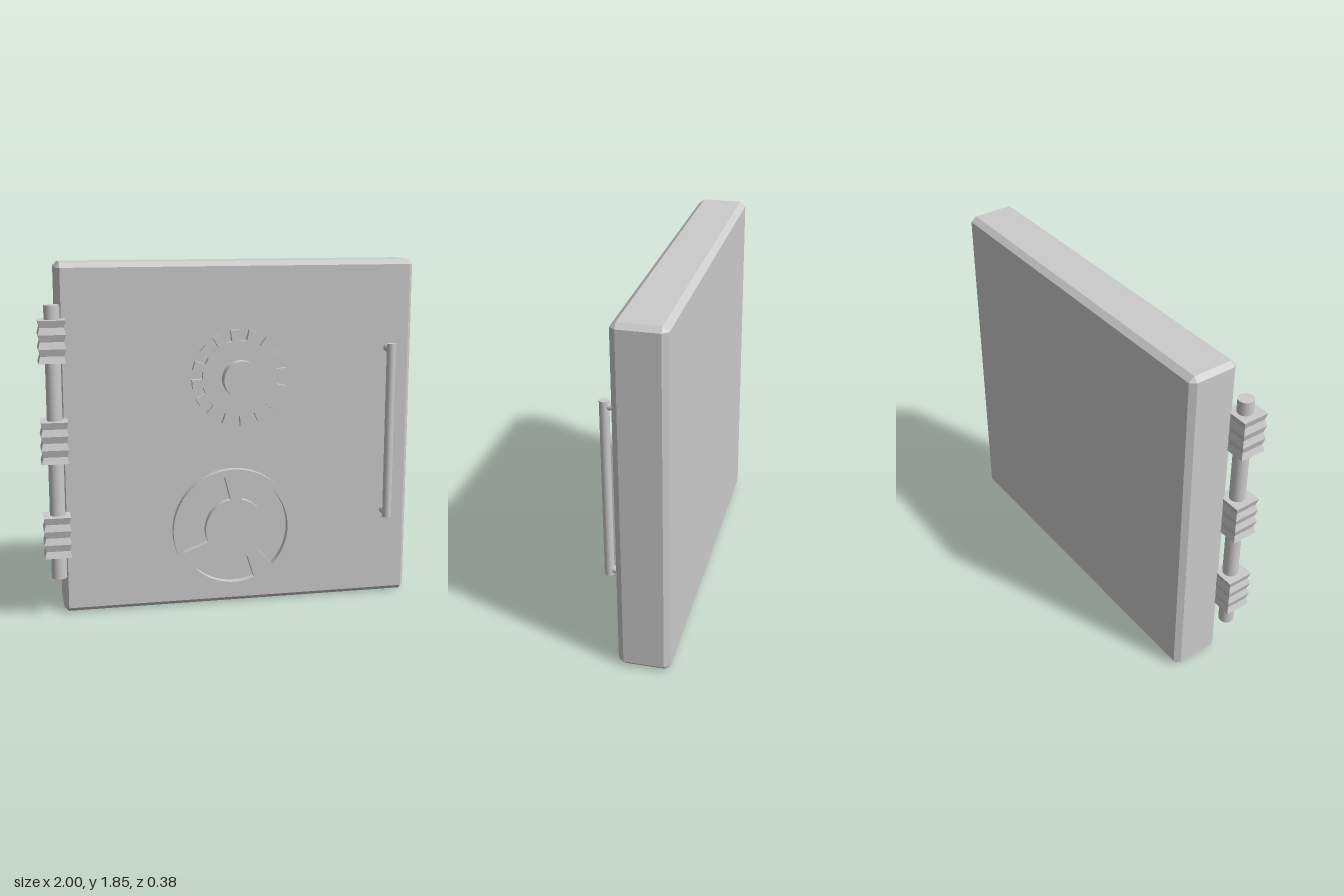
import * as THREE from 'three';
import { ConvexGeometry } from 'three/addons/geometries/ConvexGeometry.js';

const material = new THREE.MeshStandardMaterial({ color: 0xcccccc });
const flatMaterial = new THREE.MeshStandardMaterial({ color: 0xcccccc, flatShading: true });
const DOOR_FRONT = 0.077;

function add(parent, name, geometry, x, y, z, mat = material) {
  const mesh = new THREE.Mesh(geometry, mat);
  mesh.name = name;
  mesh.position.set(x, y, z);
  parent.add(mesh);
  return mesh;
}

// Box with every edge chamfered: three corner points per box corner
function chamferedBox(w, h, d, cx, cy, cz) {
  const points = [];
  for (const sx of [-1, 1]) for (const sy of [-1, 1]) for (const sz of [-1, 1]) {
    const x = w / 2, y = h / 2, z = d / 2;
    points.push(
      new THREE.Vector3(sx * x, sy * (y - cy), sz * (z - cz)),
      new THREE.Vector3(sx * (x - cx), sy * y, sz * (z - cz)),
      new THREE.Vector3(sx * (x - cx), sy * (y - cy), sz * z));
  }
  return new ConvexGeometry(points);
}

// Square block whose sides ripple along its height
function ribbedBlock(half, height, ribs, depth) {
  const steps = ribs * 4;
  const profile = [new THREE.Vector2(0, -height / 2)];
  for (let i = 0; i <= steps; i++) {
    const t = i / steps;
    const r = half - depth * (1 - Math.cos(t * ribs * Math.PI * 2)) / 2;
    profile.push(new THREE.Vector2(r * Math.SQRT2, (t - 0.5) * height));
  }
  profile.push(new THREE.Vector2(0, height / 2));
  return new THREE.LatheGeometry(profile, 4, Math.PI / 4);
}

// Toothed outline with straight-sided teeth
function gearShape(teeth, root, tip, halfWidth, phase) {
  const points = [];
  for (let i = 0; i < teeth; i++) {
    const a = phase + i / teeth * Math.PI * 2;
    const gap = Math.PI * 2 / teeth;
    for (const [r, s] of [[root, -1], [tip, -1.1], [tip, 1.1], [root, 1]]) {
      const b = a + s * halfWidth / r;
      points.push(new THREE.Vector2(r * Math.cos(b), r * Math.sin(b)));
    }
    points.push(new THREE.Vector2(root * Math.cos(a + gap / 2), root * Math.sin(a + gap / 2)));
  }
  return new THREE.Shape(points);
}

// Round wheel with ring-sector openings given as [start, end] in degrees
function wheelShape(radius, rimInner, hubRadius, openings) {
  const shape = new THREE.Shape().absarc(0, 0, radius, 0, Math.PI * 2);
  for (const [from, to] of openings) {
    const a = THREE.MathUtils.degToRad(from), b = THREE.MathUtils.degToRad(to);
    const hole = new THREE.Path();
    hole.absarc(0, 0, rimInner, a, b, false);
    hole.absarc(0.01, 0, hubRadius, b, a, true);
    hole.closePath();
    shape.holes.push(hole);
  }
  return shape;
}

export function createModel() {
  const model = new THREE.Group();
  model.name = 'vaultDoor';

  // Door slab
  add(model, 'doorSlab', chamferedBox(1.9, 1.845, 0.267, 0.023, 0.025, 0.03),
    0.05, 0.9225, -0.0565, flatMaterial);

  // Hinge: pin and three ribbed knuckles
  const hinge = new THREE.Group();
  hinge.name = 'hinge';
  model.add(hinge);
  add(hinge, 'hingePin', new THREE.CylinderGeometry(0.04, 0.04, 1.425, 24), -0.925, 0.9275, 0.115);
  for (const y of [0.447, 0.945, 1.46]) {
    add(hinge, 'hingeKnuckle', ribbedBlock(0.07, 0.215, 3, 0.01), -0.93, y, 0.12, flatMaterial);
  }

  // Gear dial with its central knob
  const dial = new THREE.Group();
  dial.name = 'gearDial';
  dial.position.set(0.045, 1.237, 0);
  model.add(dial);
  const gear = new THREE.ExtrudeGeometry(
    gearShape(16, 0.2, 0.257, 0.022, THREE.MathUtils.degToRad(96)),
    { depth: 0.108 - DOOR_FRONT + 0.007, bevelEnabled: false });
  add(dial, 'gear', gear, 0, 0, DOOR_FRONT - 0.007);
  const knob = new THREE.CylinderGeometry(0.098, 0.098, 0.07, 40).rotateX(Math.PI / 2);
  add(dial, 'dialKnob', knob, 0, 0, 0.135);

  // Spoked wheel with three uneven openings
  const wheel = new THREE.ExtrudeGeometry(
    wheelShape(0.33, 0.295, 0.165, [[-45, 79], [100, 203], [225, 292]]),
    { depth: 0.047, bevelEnabled: false, curveSegments: 40 });
  add(model, 'spokedWheel', wheel, 0.012, 0.42, DOOR_FRONT - 0.007);

  // Pull handle on two stand-offs
  const handle = new THREE.Group();
  handle.name = 'handle';
  model.add(handle);
  add(handle, 'handleBar', new THREE.CylinderGeometry(0.024, 0.024, 0.955, 20), 0.86, 0.9275, 0.146);
  for (const y of [0.475, 1.375]) {
    const post = new THREE.CylinderGeometry(0.019, 0.019, 0.08, 16).rotateX(Math.PI / 2);
    add(handle, 'handlePost', post, 0.858, y, 0.106);
  }

  return model;
}
